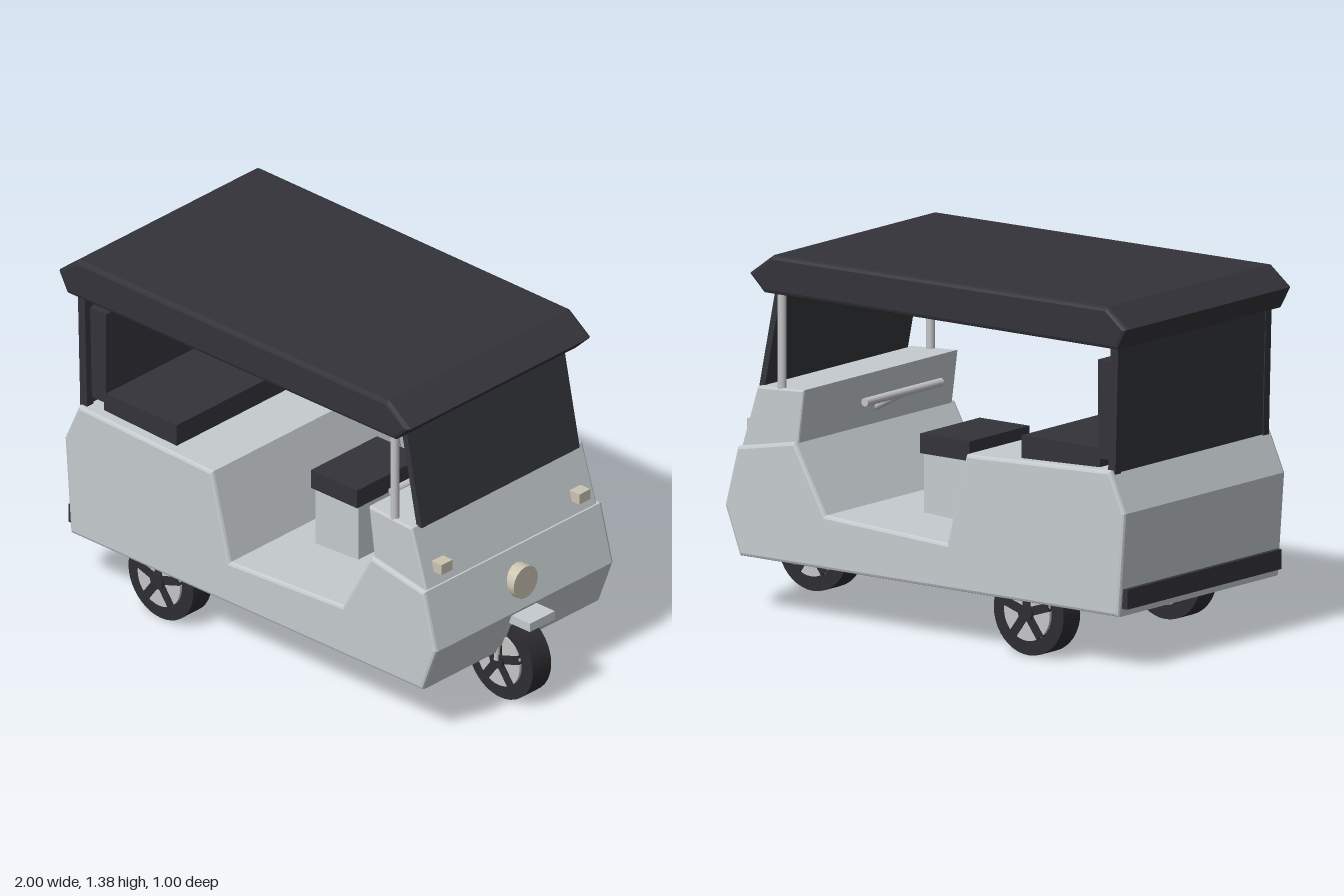
import * as THREE from 'three';

const mat = (name, color) => {
  const m = new THREE.MeshStandardMaterial({ color });
  m.name = name;
  return m;
};

export function createModel() {
  const model = new THREE.Group();
  const paint = mat('body grey', 0xc5cbce);
  const dark = mat('canopy black', 0x34333a);
  const glass = mat('dark glass', 0x34363b);
  const rubber = mat('tyre black', 0x2e2e33);
  const metal = mat('silver metal', 0xc4c4c6);
  const lamp = mat('lamp cream', 0xcac4b0);

  const add = (name, geometry, material, x = 0, y = 0, z = 0, parent = model) => {
    const mesh = new THREE.Mesh(geometry, material);
    mesh.name = name;
    mesh.position.set(x, y, z);
    parent.add(mesh);
    return mesh;
  };
  // Side profile in x/y, extruded symmetrically across the width
  const slab = (name, points, halfWidth, material, bevel = 0) => {
    const shape = new THREE.Shape(points.map(([x, y]) => new THREE.Vector2(x, y)));
    const geometry = new THREE.ExtrudeGeometry(shape, {
      depth: 2 * (halfWidth - bevel), bevelEnabled: bevel > 0, bevelSize: bevel,
      bevelThickness: bevel, bevelOffset: -bevel, bevelSegments: 2,
    });
    geometry.translate(0, 0, bevel - halfWidth);
    return add(name, geometry, material);
  };
  // Box given by its ranges in x and y, its half width and its z centre
  const box = (name, x0, x1, y0, y1, halfZ, material, z = 0) =>
    add(name, new THREE.BoxGeometry(x1 - x0, y1 - y0, 2 * halfZ), material, (x0 + x1) / 2, (y0 + y1) / 2, z);
  const rod = (name, a, b, radius, material) => {
    const from = new THREE.Vector3(...a), to = new THREE.Vector3(...b);
    const mesh = add(name, new THREE.CylinderGeometry(radius, radius, from.distanceTo(to), 16), material);
    mesh.position.copy(from).lerp(to, 0.5);
    mesh.quaternion.setFromUnitVectors(new THREE.Vector3(0, 1, 0), to.sub(from).normalize());
    return mesh;
  };

  // Body tub with the low step-in floor
  slab('body', [
    [-0.95, 0.205], [0.84, 0.205], [0.91, 0.39], [0.85, 0.62], [0.58, 0.67], [0.435, 0.41],
    [-0.14, 0.38], [-0.23, 0.73], [-0.91, 0.755], [-0.98, 0.6],
  ], 0.485, paint, 0.012);
  slab('frontCowl', [[0.58, 0.64], [0.847, 0.61], [0.77, 0.855], [0.55, 0.868]], 0.465, paint, 0.008);

  // Canopy
  slab('roof', [
    [-0.955, 1.223], [0.715, 1.223], [0.785, 1.29], [0.675, 1.37], [-0.905, 1.38], [-1, 1.305],
  ], 0.5, dark, 0.015);

  // Screens and posts
  slab('windshield', [[0.762, 0.85], [0.788, 0.85], [0.71, 1.235], [0.684, 1.235]], 0.43, glass);
  slab('rearScreen', [[-0.915, 0.74], [-0.895, 0.74], [-0.91, 1.235], [-0.93, 1.235]], 0.43, glass);
  for (const side of [-1, 1]) {
    rod('frontPost', [0.667, 0.85, side * 0.447], [0.667, 1.235, side * 0.447], 0.017, metal);
    const post = slab('rearPost', [[-0.92, 0.74], [-0.885, 0.74], [-0.898, 1.235], [-0.933, 1.235]], 0.017, dark);
    post.position.z = side * 0.445;
  }

  // Seats
  box('benchCushion', -0.825, -0.455, 0.735, 0.825, 0.435, dark);
  box('benchBackrest', -0.9, -0.815, 0.785, 1.16, 0.435, dark);
  box('driverSeatBase', 0, 0.217, 0.37, 0.63, 0.165, paint);
  box('driverSeatCushion', -0.01, 0.225, 0.625, 0.7, 0.18, dark);

  // Handlebar
  rod('steeringStem', [0.6, 0.715, 0], [0.45, 0.795, 0], 0.016, metal);
  rod('handlebar', [0.447, 0.797, -0.23], [0.447, 0.797, 0.23], 0.016, metal);

  // Lamps, number plate shelf and rear bumper
  rod('headlight', [0.86, 0.497, 0], [0.915, 0.497, 0], 0.066, lamp);
  for (const side of [-1, 1]) box('markerLamp', 0.815, 0.865, 0.67, 0.712, 0.03, lamp, side * 0.375);
  box('frontShelf', 0.89, 1, 0.345, 0.38, 0.068, paint);
  box('rearBumper', -0.978, -0.94, 0.235, 0.31, 0.465, dark);

  // Wheels with five-spoke faces
  const disc = (r, width) => new THREE.CylinderGeometry(r, r, width, 40).rotateX(Math.PI / 2);
  const wheel = (name, x, z) => {
    const group = new THREE.Group();
    group.name = name;
    group.position.set(x, 0.165, z);
    model.add(group);
    add('tyre', disc(0.165, 0.1), rubber, 0, 0, 0, group);
    add('rim', disc(0.108, 0.122), metal, 0, 0, 0, group);
    add('hub', disc(0.032, 0.15), rubber, 0, 0, 0, group);
    for (let i = 0; i < 5; i++) {
      const angle = Math.PI / 2 + (i * Math.PI * 2) / 5;
      const spoke = add('spoke', new THREE.BoxGeometry(0.105, 0.034, 0.132), rubber,
        Math.cos(angle) * 0.055, Math.sin(angle) * 0.055, 0, group);
      spoke.rotation.z = angle;
    }
  };
  wheel('frontWheel', 0.833, 0);
  for (const side of [-1, 1]) {
    wheel('rearWheel', -0.51, side * 0.412);
    rod('frontFork', [0.835, 0.17, side * 0.073], [0.845, 0.3, side * 0.073], 0.011, metal);
  }

  return model;
}
